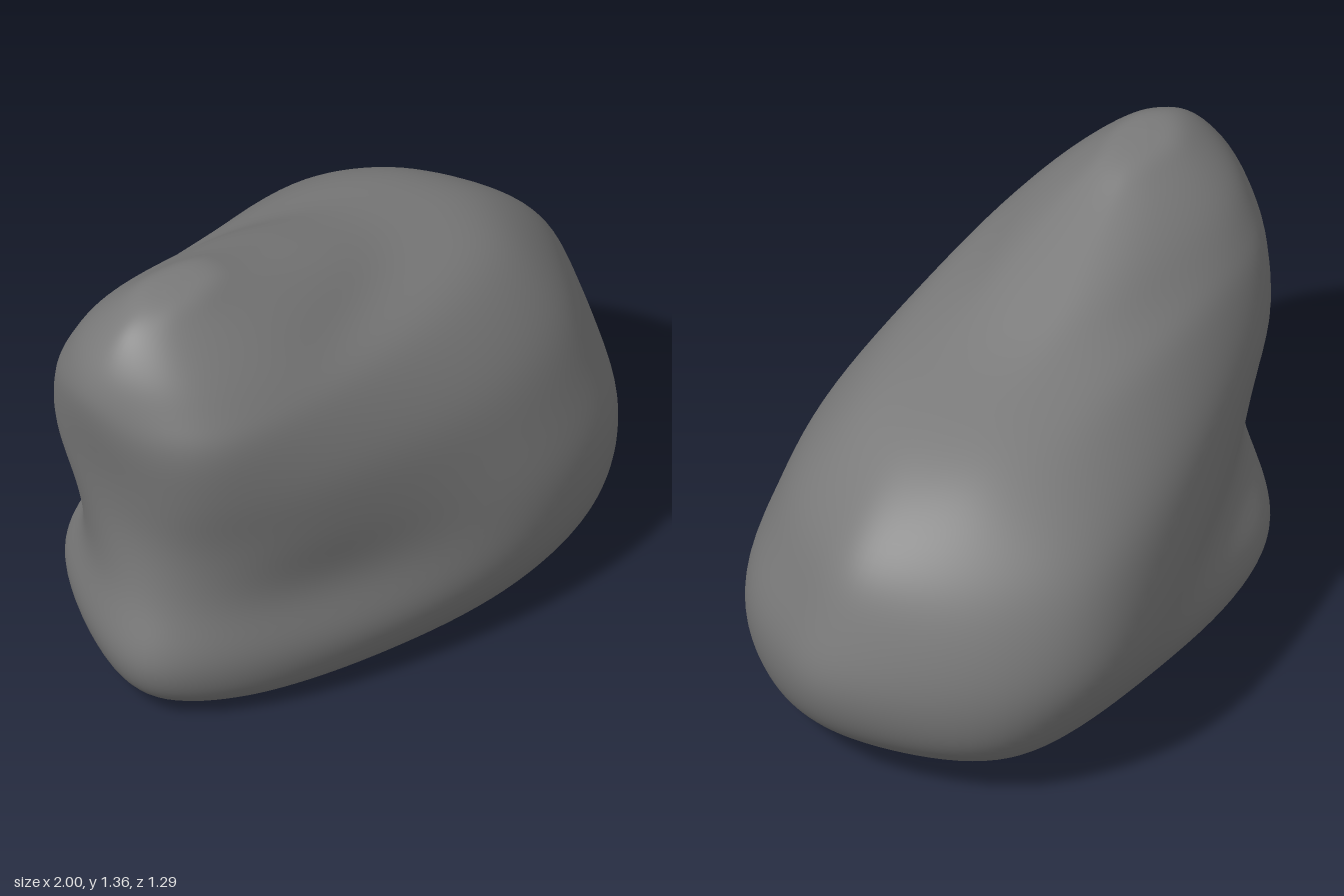
import * as THREE from 'three';
import { mergeVertices } from 'three/addons/utils/BufferGeometryUtils.js';

// Horizontal outlines [x, z, ...], from the +x tip round by the front, the -x end and the back
const sole = [0.5, 0, 0.55, 0.2, 0.4, 0.33, 0.05, 0.41, -0.35, 0.35, -0.6, 0.25, -0.65, 0.06, -0.53, -0.17, -0.25, -0.26, 0.15, -0.21, 0.38, -0.15];
const edge = [0.73, 0, 0.73, 0.3, 0.53, 0.48, 0.12, 0.55, -0.4, 0.47, -0.76, 0.32, -0.9, 0.1, -0.66, -0.29, -0.3, -0.45, 0.28, -0.4, 0.6, -0.3];
const foot = [0.93, 0, 0.85, 0.3, 0.62, 0.55, 0.15, 0.64, -0.4, 0.54, -0.81, 0.35, -0.98, 0.11, -0.71, -0.37, -0.35, -0.53, 0.35, -0.55, 0.77, -0.42];
const belly = [1.01, 0, 0.9, 0.28, 0.66, 0.55, 0.17, 0.65, -0.48, 0.48, -0.82, 0.31, -0.93, 0.08, -0.74, -0.26, -0.28, -0.48, 0.4, -0.65, 0.81, -0.47];
const waist = [0.97, -0.02, 0.86, 0.24, 0.61, 0.5, 0.15, 0.61, -0.5, 0.51, -0.84, 0.31, -0.92, 0.06, -0.81, -0.22, -0.42, -0.45, 0.4, -0.65, 0.79, -0.45];
const shoulder = [0.88, -0.03, 0.79, 0.19, 0.55, 0.43, 0.12, 0.55, -0.48, 0.52, -0.87, 0.35, -0.95, 0.05, -0.83, -0.29, -0.45, -0.44, 0.37, -0.58, 0.7, -0.4];
const brow = [0.61, -0.03, 0.57, 0.13, 0.41, 0.3, 0.03, 0.42, -0.48, 0.46, -0.89, 0.36, -1, 0.04, -0.86, -0.26, -0.5, -0.36, 0.2, -0.38, 0.52, -0.25];
const head = [0.2, -0.01, 0.17, 0.1, 0.06, 0.21, -0.18, 0.31, -0.52, 0.39, -0.87, 0.32, -1.01, 0.04, -0.88, -0.2, -0.6, -0.29, -0.13, -0.26, 0.14, -0.14];
const brain = [-0.1, 0.01, -0.11, 0.09, -0.18, 0.17, -0.36, 0.25, -0.6, 0.3, -0.86, 0.25, -0.98, 0.04, -0.87, -0.14, -0.66, -0.21, -0.31, -0.18, -0.14, -0.1];
const crown = [-0.4, 0.03, -0.41, 0.08, -0.45, 0.13, -0.55, 0.17, -0.68, 0.19, -0.82, 0.16, -0.9, 0.05, -0.83, -0.05, -0.7, -0.1, -0.52, -0.08, -0.42, -0.03];

const AROUND = 110, UP = 120;

// Smooth closed outline at height y, optionally shrunk towards a centre
function ring(y, outline, scale = 1, cx = 0, cz = 0) {
  const pts = [];
  for (let i = 0; i < outline.length; i += 2) {
    pts.push(new THREE.Vector3(cx + (outline[i] - cx) * scale, y, cz + (outline[i + 1] - cz) * scale));
  }
  const curve = new THREE.CatmullRomCurve3(pts, true, 'catmullrom', 0.5);
  return Array.from({ length: AROUND }, (_, j) => curve.getPoint(j / AROUND));
}

// One pass of weathering: each point moves towards its neighbours
function soften(grid) {
  return grid.map((column, j) => column.map((p, i) => {
    if (i === 0 || i === UP) return p;
    const before = grid[(j + AROUND - 1) % AROUND][i], after = grid[(j + 1) % AROUND][i];
    return p.clone().multiplyScalar(4).add(before).add(after).add(column[i - 1]).add(column[i + 1]).divideScalar(8);
  }));
}

// Skin through the stacked rings, splined vertically
function loft(rings) {
  let grid = Array.from({ length: AROUND }, (_, j) => {
    const curve = new THREE.CatmullRomCurve3(rings.map((r) => r[j]), false, 'centripetal');
    return Array.from({ length: UP + 1 }, (_, i) => curve.getPoint(i / UP));
  });
  for (let pass = 0; pass < 20; pass++) grid = soften(grid);

  const positions = [], index = [];
  for (let i = 0; i <= UP; i++) {
    for (const column of grid) positions.push(column[i].x, Math.max(0, column[i].y), column[i].z);
  }
  // The first and last bands close on a point, so they need one triangle per step
  for (let i = 0; i < UP; i++) {
    for (let j = 0; j < AROUND; j++) {
      const a = i * AROUND + j, b = i * AROUND + ((j + 1) % AROUND);
      if (i < UP - 1) index.push(a, a + AROUND, b + AROUND);
      if (i > 0) index.push(a, i < UP - 1 ? b + AROUND : a + AROUND, b);
    }
  }
  const geometry = new THREE.BufferGeometry();
  geometry.setAttribute('position', new THREE.Float32BufferAttribute(positions, 3));
  geometry.setIndex(index);
  const merged = mergeVertices(geometry, 1e-5);
  merged.computeVertexNormals();
  return merged;
}

export function createModel() {
  const group = new THREE.Group();
  group.name = 'boulder';

  const rings = [
    // flat underside and rounded lower edge
    ring(0, sole, 0), ring(0, sole, 0.5), ring(0, sole), ring(0.05, edge),
    // body with the undercut end
    ring(0.2, foot), ring(0.4, belly), ring(0.6, waist), ring(0.8, shoulder),
    // sloping top rising to the head
    ring(1, brow), ring(1.1, head), ring(1.2, brain), ring(1.3, crown),
    ring(1.348, crown, 0.55, -0.69, 0.05), ring(1.358, crown, 0, -0.69, 0.05),
  ];
  const stone = new THREE.Mesh(loft(rings), new THREE.MeshStandardMaterial({ color: 0x7b7b7b }));
  stone.name = 'stone';
  group.add(stone);
  return group;
}
